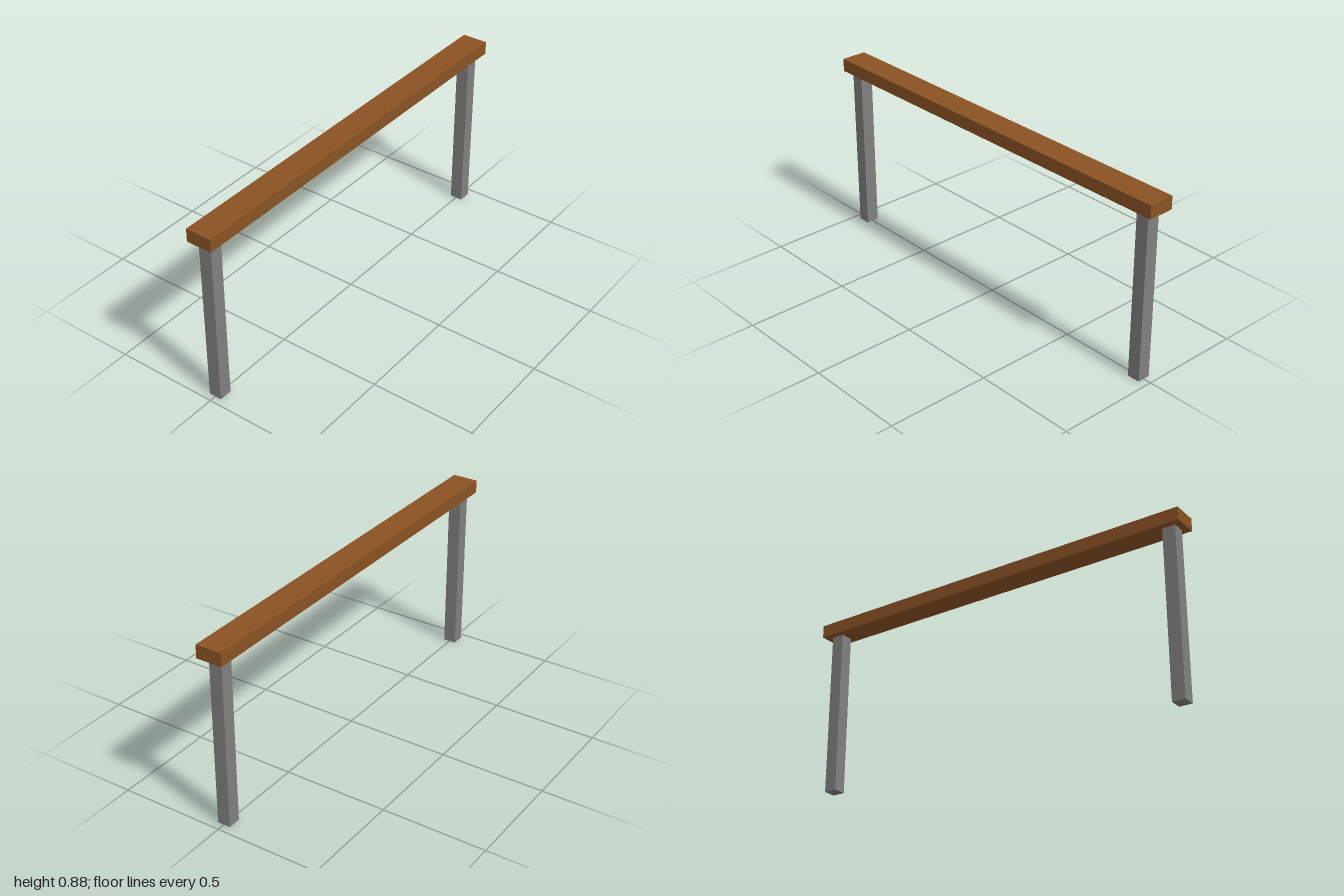
import * as THREE from 'three';

export function createModel() {
  const model = new THREE.Group();
  model.name = 'beam';

  const wood = new THREE.MeshStandardMaterial({ color: 0x8a5323 });
  wood.name = 'brown wood';
  const metal = new THREE.MeshStandardMaterial({ color: 0x808080 });
  metal.name = 'grey metal';

  const addBox = (name, material, size, position) => {
    const mesh = new THREE.Mesh(new THREE.BoxGeometry(...size), material);
    mesh.name = name;
    mesh.position.set(...position);
    model.add(mesh);
  };

  const legHeight = 0.8125;
  const railHeight = 0.0625;

  // Long wooden rail running front to back
  addBox('rail', wood, [0.125, railHeight, 2], [0, legHeight + railHeight / 2, 0]);

  // Square posts near each end
  for (const [name, z] of [['frontLeg', 0.936], ['backLeg', -0.93]]) {
    addBox(name, metal, [0.0625, legHeight, 0.0625], [0, legHeight / 2, z]);
  }

  return model;
}
